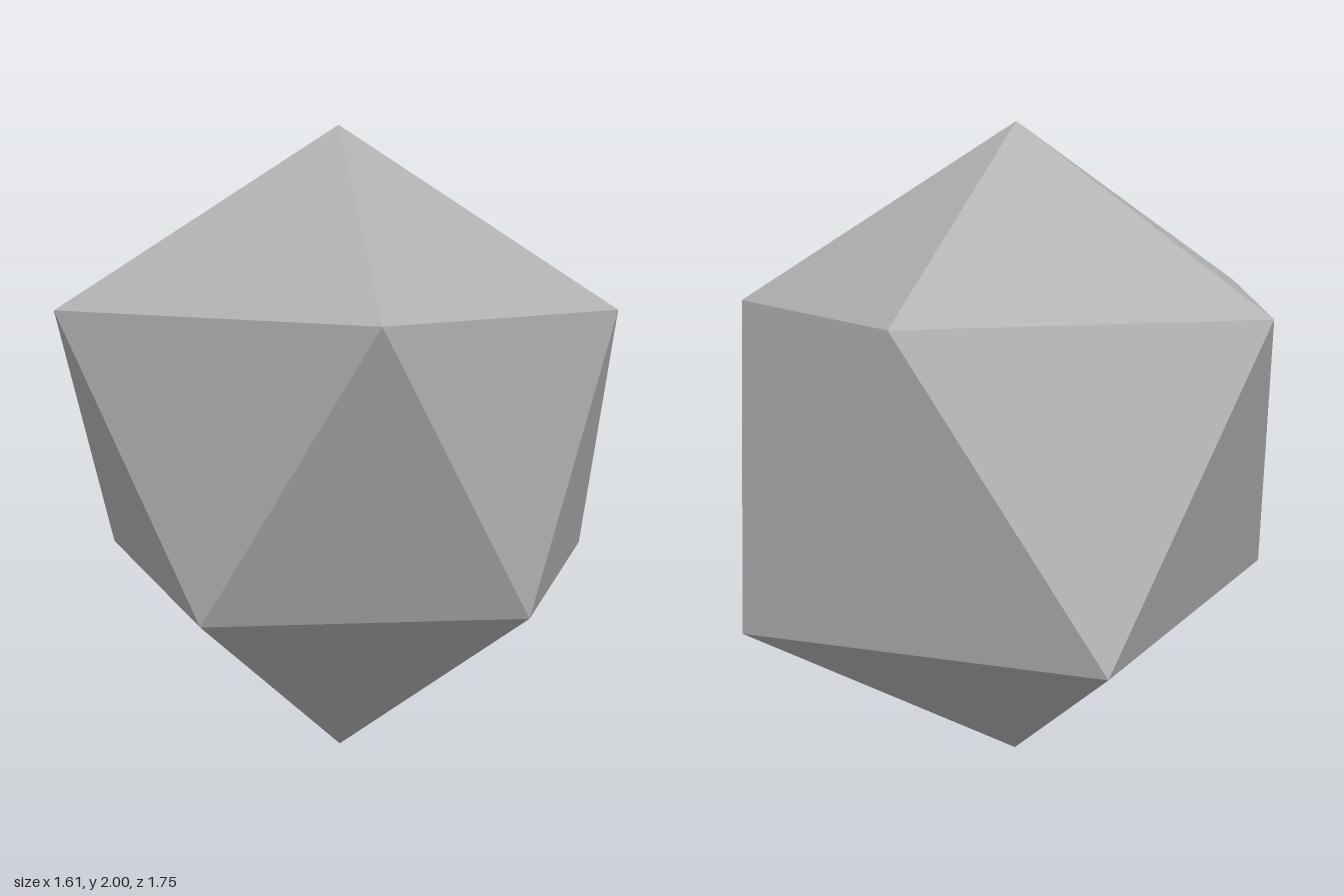
import * as THREE from 'three';

// Irregular twenty-sided rock: two tips and two staggered five-point rings.
export function createModel() {
  const stone = new THREE.MeshStandardMaterial({ color: 0xb0b0b0 });
  stone.name = 'stone grey';

  const top = [-0.04, 2, -0.02];
  const bottom = [-0.04, 0, -0.02];
  const upper = [
    [0.805, 1.465, -0.025], [0.255, 1.517, 0.877], [-0.752, 1.487, 0.493],
    [-0.747, 1.48, -0.54], [0.232, 1.487, -0.867],
  ];
  // Each lower point sits between upper points i and i + 1.
  const lower = [
    [0.6, 0.647, 0.435], [-0.275, 0.657, 0.71], [-0.805, 0.657, -0.02],
    [-0.32, 0.595, -0.877], [0.705, 0.582, -0.565],
  ];

  const corners = [];
  for (let i = 0; i < 5; i++) {
    const j = (i + 1) % 5;
    corners.push(top, upper[j], upper[i]);         // upper cap
    corners.push(upper[i], upper[j], lower[i]);    // belt, pointing down
    corners.push(lower[j], lower[i], upper[j]);    // belt, pointing up
    corners.push(lower[i], lower[j], bottom);      // lower cap
  }

  // Unshared corners give every facet its own flat normal.
  const geometry = new THREE.BufferGeometry();
  geometry.setAttribute('position', new THREE.Float32BufferAttribute(corners.flat(), 3));
  geometry.computeVertexNormals();

  const rock = new THREE.Mesh(geometry, stone);
  rock.name = 'rock';
  const model = new THREE.Group();
  model.name = 'facetedRock';
  model.add(rock);
  return model;
}
